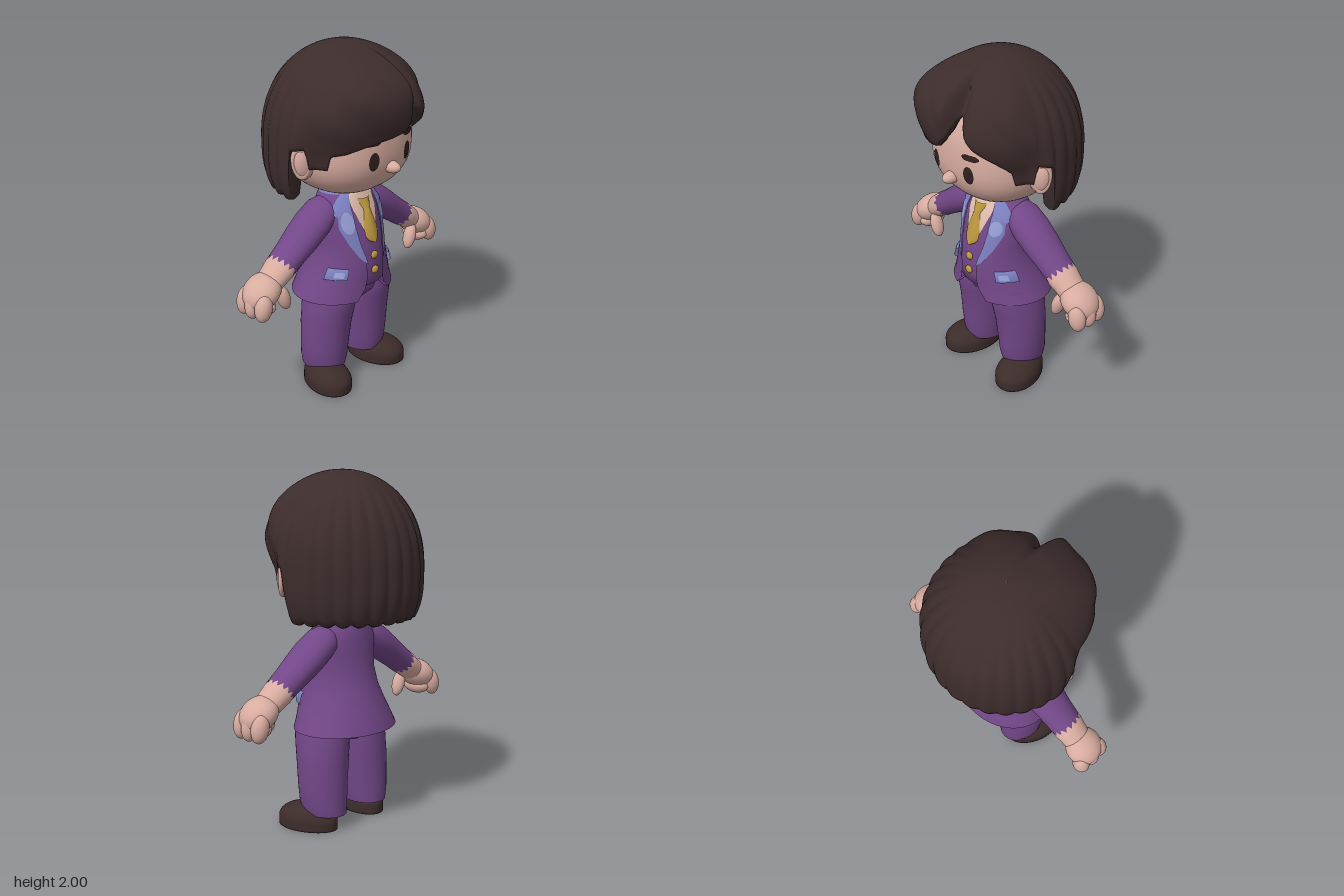
import * as THREE from 'three';

const { smoothstep, lerp, degToRad } = THREE.MathUtils;
const paint = (name, color) => {
  const m = new THREE.MeshStandardMaterial({ color, side: THREE.DoubleSide });
  m.name = name;
  return m;
};

// Linear lookup in rows sorted by their first number; returns column c.
function look(rows, key, c = 1) {
  for (let i = 1; i < rows.length; i++) {
    const [a, b] = [rows[i - 1], rows[i]];
    if ((key - a[0]) * (key - b[0]) <= 0) return lerp(a[c], b[c], (key - a[0]) / (b[0] - a[0]));
  }
  const [a, b] = [rows[0], rows.at(-1)];
  return Math.abs(key - a[0]) < Math.abs(key - b[0]) ? a[c] : b[c];
}

// Surface through a grid of points, rows running downward and columns to the right.
function grid(nr, nc, point, closed = false) {
  const pos = [], idx = [], cols = closed ? nc : nc - 1;
  for (let i = 0; i < nr; i++) for (let j = 0; j < nc; j++) pos.push(...point(i, j));
  for (let i = 0; i < nr - 1; i++) for (let j = 0; j < cols; j++) {
    const a = i * nc + j, b = i * nc + (j + 1) % nc;
    idx.push(a, a + nc, b, b, a + nc, b + nc);
  }
  const g = new THREE.BufferGeometry();
  g.setAttribute('position', new THREE.Float32BufferAttribute(pos, 3));
  g.setIndex(idx);
  g.computeVertexNormals();
  return g;
}

// Stack of horizontal ellipses: [y, rx, zc, rz, xc]
const loft = (rows, n = 40) => grid(rows.length, n, (i, j) => {
  const [y, rx, zc, rz, xc = 0] = rows[i], t = j / n * Math.PI * 2;
  return [xc + rx * Math.sin(t), y, zc + rz * Math.cos(t)];
}, true);

// Thin plate lying on a front surface, rows of [y, left, right]
const plate = (rows, surf, off, bulge = 0, n = 9) => grid(rows.length, n, (i, j) => {
  const [y, x0, x1] = rows[i], u = j / (n - 1), x = lerp(x0, x1, u);
  return [x, y, surf(x, y) + off + bulge * 4 * u * (1 - u)];
});

// Head: rounded box-like ellipsoid
const HX = 0.355, HZ = 0.335, HN = 2.3, HY = 1.46, HC = 0.01;
const headH = (dy) => (dy > 0 ? 0.4 : 0.285);
const headZ = (x, y) => HC + HZ * Math.pow(Math.max(0, 1 - Math.abs(x / HX) ** HN
  - Math.abs((y - HY) / headH(y - HY)) ** HN), 1 / HN);
function headGeometry() {
  const g = new THREE.SphereGeometry(1, 48, 36), p = g.attributes.position;
  for (let i = 0; i < p.count; i++) {
    const x = p.getX(i), y = p.getY(i), z = p.getZ(i);
    const k = (Math.abs(x / HX) ** HN + Math.abs(y / headH(y)) ** HN + Math.abs(z / HZ) ** HN) ** (-1 / HN);
    p.setXYZ(i, x * k, HY + y * k, HC + z * k);
  }
  g.computeVertexNormals();
  return g;
}

// Hair: lower edge by angle from the front (degrees, + is the model's left)
const EDGE = [[-180, 1.2], [-92, 1.2], [-87, 1.5], [-77, 1.51], [-75, 1.4], [-61, 1.4], [-58, 1.48], [-45, 1.5],
  [-30, 1.54], [-10, 1.57], [0, 1.59], [8, 1.66], [13, 1.75], [16, 1.76], [22, 1.68], [30, 1.62], [45, 1.55],
  [58, 1.48], [61, 1.4], [75, 1.4], [77, 1.51], [87, 1.5], [92, 1.2], [180, 1.2]];
function hairRadius(a, y) {
  const u = Math.max(0, (y - 1.45) / 0.55), front = 1 - smoothstep(Math.abs(a), 68, 88);
  let r = (0.445 + 0.01 * smoothstep(Math.abs(a), 95, 150)) * Math.sqrt(Math.max(0, 1 - u ** 2.3));
  if (y < 1.45) r *= 1 - 0.1 * ((1.45 - y) / 0.25) ** 3;
  r = lerp(r, 0.374, front * (1 - smoothstep(y, 1.42, 1.68)));
  const depth = smoothstep(2 - y, 0.02, 0.2), puff = Math.exp(-(((y - 1.82) / 0.16) ** 2));
  r += 0.085 * puff * smoothstep(a, -80, -35) * (1 - smoothstep(a, 4, 17)) * smoothstep(2 - y, 0, 0.06);
  r += 0.025 * puff * smoothstep(a, 15, 30) * (1 - smoothstep(a, 55, 80));
  r -= 0.04 * depth * Math.exp(-(((a - 15) / 6) ** 2));
  const back = Math.abs(Math.sin(degToRad(a * 14))), sweep = Math.abs(Math.sin(degToRad(a * 4) + y * 9));
  return r * (1 - depth * (0.025 * (1 - front) * (1 - back) + 0.03 * front * smoothstep(y, 1.5, 1.6) * (1 - sweep)));
}
function hairGeometry() {
  const n = 288, rows = 36;
  return grid(rows + 3, n, (i, j) => {
    let a = j / n * 360;
    if (a > 180) a -= 360;
    const lock = Math.abs(Math.sin(degToRad(a * 14)));
    const e = look(EDGE, a) + (Math.abs(a) > 92 ? 0.02 * (1 - lock) : 0);
    let y = e + (2 - e) * Math.cos(Math.min(1, i / (rows - 1)) * Math.PI / 2), r = hairRadius(a, y);
    if (i >= rows) { // turned-in lower rim
      r *= [0.93, 0.84, 0.78][i - rows];
      y += [-0.008, 0.01, 0.14][i - rows];
    }
    const t = degToRad(a);
    return [r * Math.sin(t), y, r * Math.cos(t)];
  }, true);
}

// Coat rings [y, rx, zc, rz] and half-width of its front opening [y, w]
const COAT = [[1.19, 0.1, 0, 0.11], [1.16, 0.165, 0, 0.13], [1.08, 0.215, 0.01, 0.155], [1, 0.215, 0.02, 0.172],
  [0.9, 0.207, 0.028, 0.19], [0.8, 0.22, 0.022, 0.216], [0.7, 0.258, 0.004, 0.236], [0.63, 0.288, -0.012, 0.25],
  [0.565, 0.318, -0.02, 0.262]];
const OPEN = [[1.19, 0.085], [1.1, 0.1], [1, 0.1], [0.9, 0.09], [0.8, 0.065], [0.7, 0.06], [0.63, 0.075], [0.565, 0.13]];
const coatZ = (x, y) => look(COAT, y, 2)
  + look(COAT, y, 3) * Math.sqrt(Math.max(0, 1 - (x / look(COAT, y, 1)) ** 2));
function coatGeometry() {
  const n = 56, hem = COAT.at(-1);
  const rows = [...COAT, hem, [0.567, 0.29, -0.02, 0.235], [0.62, 0.25, -0.02, 0.2]];
  return grid(rows.length, n, (i, j) => {
    const [y, rx, zc, rz] = rows[i], g = Math.asin(Math.min(0.9, look(OPEN, y) / rx));
    const t = lerp(g, Math.PI * 2 - g, j / (n - 1));
    return [rx * Math.sin(t), y, zc + rz * Math.cos(t)];
  });
}
// Band wrapped around the coat between two angles, rows of [y, offset]
const coatBand = (rows, t0, t1) => grid(rows.length, 12, (i, j) => {
  const [y, off] = rows[i], t = lerp(t0, t1, j / 11);
  return [(look(COAT, y) + off) * Math.sin(t), y, look(COAT, y, 2) + (look(COAT, y, 3) + off) * Math.cos(t)];
});

export function createModel() {
  const model = new THREE.Group();
  const hair = paint('dark brown hair', 0x3d2c2c), skin = paint('skin', 0xd8aca0), suit = paint('purple suit', 0x724788);
  const blue = paint('blue lapel', 0x7c80bf), pale = paint('pale blue', 0x98a0d8), gold = paint('gold', 0xba973f);
  const dark = paint('eye brown', 0x322020), leather = paint('shoe brown', 0x3c2c2a), cream = paint('shirt cream', 0xdfbcaa);
  const add = (name, geo, mat) => {
    const m = new THREE.Mesh(geo, mat);
    m.name = name;
    model.add(m);
    return m;
  };
  const blob = (name, mat, p, s, rot = [0, 0, 0]) => {
    const m = add(name, new THREE.SphereGeometry(1, 24, 18), mat);
    m.position.set(...p);
    m.scale.set(...s);
    m.rotation.set(...rot);
  };
  const oval = (cx, cy, rx, ry) => Array.from({ length: 13 }, (_, i) => {
    const t = i / 12 * Math.PI, w = rx * Math.sin(t);
    return [cy + ry * Math.cos(t), cx - w, cx + w];
  });

  // Head
  add('head', headGeometry(), skin);
  add('hair', hairGeometry(), hair);
  blob('nose', skin, [0, 1.374, 0.335], [0.038, 0.034, 0.062]);
  add('neck', new THREE.CylinderGeometry(0.09, 0.1, 0.16, 28).translate(0, 1.15, 0), skin);

  // Torso
  add('coat', coatGeometry(), suit);
  const vest = COAT.filter((r) => r[0] > 0.65).map(([y, rx, zc, rz]) => [y, rx * 0.95, zc, rz * 0.96]);
  add('vest', loft([...vest, [0.64, 0.24, 0, 0.222], [0.625, 0.2, 0, 0.17]]), suit);
  add('shirt', plate([[1.19, -0.085, 0.085], [1.16, -0.095, 0.095], [1.08, -0.085, 0.085], [1, -0.06, 0.06],
    [0.93, -0.03, 0.03]], coatZ, 0), cream);
  const tie = [[1.145, 0.046], [1.12, 0.04], [1.085, 0.024], [1.04, 0.036], [0.98, 0.052], [0.94, 0.05], [0.915, 0.036],
    [0.9, 0.012]];
  add('tie', plate(tie.map(([y, w]) => [y, -w, w]), coatZ, 0.004, 0.018), gold);
  for (const y of [0.82, 0.73]) blob('vest button', gold, [0, y, coatZ(0, y) - 0.005], [0.025, 0.023, 0.014]);
  add('collar', loft([[1.215, 0.105, -0.015, 0.1], [1.2, 0.122, -0.015, 0.112], [1.165, 0.15, -0.01, 0.132]]), blue);
  add('trouser seat', loft([[0.72, 0.2, 0, 0.16], [0.6, 0.265, 0.005, 0.166], [0.55, 0.24, 0, 0.155],
    [0.52, 0.15, -0.005, 0.135], [0.495, 0.06, -0.01, 0.1], [0.48, 0, 0, 0]]), suit);

  for (const s of [-1, 1]) {
    const side = s > 0 ? 'left ' : 'right ';
    const both = (rows) => rows.map(([y, a, b]) => (s > 0 ? [y, a, b] : [y, -b, -a]));

    // Face details
    add(side + 'eye', plate(oval(s * 0.13, 1.432, 0.031, 0.052), headZ, 0.004), dark);
    add(side + 'brow', plate([0, 1, 2, 3].map((i) => {
      const w = [0.03, 0.05, 0.05, 0.03][i];
      return [1.553 - i * 0.011, s * 0.14 - w, s * 0.14 + w];
    }), headZ, 0.006), dark);
    blob(side + 'ear', skin, [s * 0.372, 1.428, 0.052], [0.062, 0.1, 0.046], [0, s * 0.25, -s * 0.12]);
    const rim = add(side + 'ear rim', new THREE.TorusGeometry(0.052, 0.015, 10, 28), skin);
    rim.position.set(s * 0.398, 1.433, 0.06);
    rim.scale.set(0.75, 1.45, 1);
    rim.rotation.set(0, s * 0.7, -s * 0.12);

    // Lapels and pocket
    add(side + 'lapel', plate(both([[1.18, 0.075, 0.1], [1.16, 0.09, 0.14], [1.1, 0.1, 0.188], [1.08, 0.1, 0.195],
      [1.065, 0.1, 0.175], [1, 0.1, 0.178], [0.9, 0.088, 0.142], [0.83, 0.07, 0.105], [0.79, 0.062, 0.072]]),
    coatZ, 0.008), blue);
    add(side + 'lapel highlight', plate(oval(s * 0.138, 1.03, 0.032, s > 0 ? 0.045 : 0.06), coatZ, 0.013), pale);
    const flap = add(side + 'pocket flap', coatBand([[0.77, -0.004], [0.764, 0.014], [0.712, 0.018], [0.7, -0.004]],
      s * 0.74, s * 1.27), blue);
    flap.add(new THREE.Mesh(coatBand([[0.755, 0.017], [0.725, 0.02]], s * 0.82, s * 1.05), pale));
    flap.children[0].name = side + 'pocket highlight';

    // Arm: sleeve with an uneven cuff, then wrist
    const from = new THREE.Vector3(s * 0.17, 1.075, -0.01), to = new THREE.Vector3(s * 0.51, 0.835, -0.01);
    const dir = to.clone().sub(from).normalize();
    const limb = (name, profile, mat, jag) => {
      const g = loft(profile.map(([y, r]) => [y, r, 0, r * 1.25]), 48), p = g.attributes.position;
      if (jag) for (let i = p.count - 48; i < p.count; i++) p.setY(i, p.getY(i) - 0.016 * Math.sin(i * 1.9));
      const m = add(name, g, mat);
      m.position.copy(from);
      m.quaternion.setFromUnitVectors(new THREE.Vector3(0, -1, 0), dir);
    };
    limb(side + 'sleeve', [[0.1, 0], [0.085, 0.03], [0.05, 0.062], [0, 0.083], [-0.1, 0.09], [-0.2, 0.086],
      [-0.3, 0.078], [-0.39, 0.074]], suit, true);
    limb(side + 'wrist', [[-0.3, 0.055], [-0.37, 0.069], [-0.41, 0.075], [-0.45, 0.07], [-0.5, 0.066],
      [-0.54, 0.062]], skin, false);

    // Hand
    blob(side + 'palm', skin, [s * 0.636, 0.752, -0.01], [0.115, 0.082, 0.108], [0, 0, -s * 0.6]);
    [-0.08, -0.01, 0.06].forEach((z, i) => blob(side + 'finger', skin, [s * (0.69 + (i === 1 ? 0.006 : 0)), 0.697, z],
      [0.05, 0.08, 0.048], [0, 0, s * 0.2]));
    blob(side + 'curled fingers', skin, [s * 0.64, 0.675, -0.005], [0.055, 0.05, 0.09]);
    blob(side + 'thumb', skin, [s * 0.532, 0.695, 0.045], [0.036, 0.08, 0.04], [0, 0, -s * 0.3]);

    // Leg and shoe
    const leg = [[0.64, 0.125, 0.01, 0.162, 0.14], [0.56, 0.135, 0.01, 0.17, 0.145], [0.48, 0.142, 0, 0.163, 0.15],
      [0.38, 0.142, -0.01, 0.152, 0.158], [0.25, 0.134, -0.016, 0.146, 0.164], [0.15, 0.126, -0.022, 0.143, 0.165],
      [0.09, 0.112, -0.03, 0.134, 0.162], [0.09, 0.112, -0.03, 0.134, 0.162], [0.095, 0, -0.02, 0, 0.162]];
    add(side + 'trouser leg', loft(leg.map((r) => [...r.slice(0, 4), s * r[4] + 0.012])), suit);
    const g = new THREE.SphereGeometry(1, 36, 24), p = g.attributes.position;
    for (let i = 0; i < p.count; i++) { // upright sides, flat sole, rounded top
      const x = p.getX(i), y = p.getY(i), z = p.getZ(i);
      const k = y < 0 && y > -0.55 ? 1 / Math.hypot(x, z) : 1;
      p.setXYZ(i, x * k * (0.12 + 0.012 * z), y > 0 ? 0.045 + 0.092 * y : Math.max(0, 0.045 + 0.09 * y), z * k * 0.182);
    }
    g.computeVertexNormals();
    const shoe = add(side + 'shoe', g, leather);
    shoe.position.set(s * 0.215 + 0.016, 0, 0.045);
    shoe.rotation.y = s * 0.25;
  }
  return model;
}
